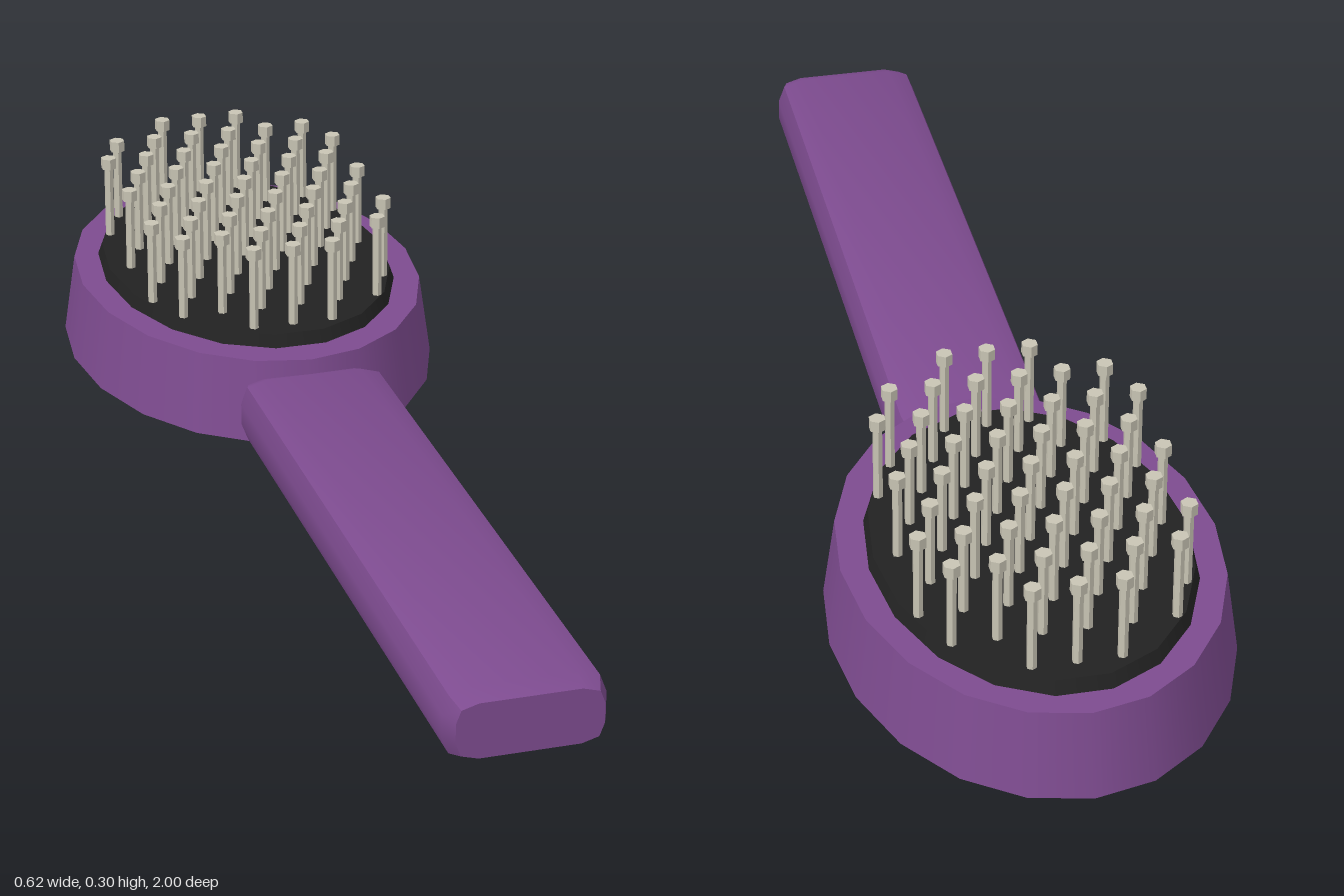
import * as THREE from 'three';
import { toCreasedNormals } from 'three/addons/utils/BufferGeometryUtils.js';

function material(name, color, flatShading = false) {
  const m = new THREE.MeshStandardMaterial({ color, flatShading });
  m.name = name;
  return m;
}

export function createModel() {
  const purple = material('purple plastic', 0x7d4b8f);
  const black = material('black rubber', 0x222222);
  const ivory = material('ivory bristle', 0xc8c4b4, true);
  const root = new THREE.Group();
  root.name = 'hairbrush';
  const headZ = -0.5575;

  function add(name, geometry, mat, x, y, z, parent = root) {
    const mesh = new THREE.Mesh(geometry, mat);
    mesh.name = name;
    mesh.position.set(x, y, z);
    parent.add(mesh);
    return mesh;
  }

  // Oval head, tapering upwards
  const headGeo = new THREE.CylinderGeometry(0.293, 0.312, 0.137, 20);
  headGeo.scale(1, 1, 0.4425 / 0.312);
  add('head', headGeo, purple, 0, 0.0685, headZ);

  // Oval cushion with flat front and back facets
  const padGeo = new THREE.CylinderGeometry(0.243, 0.25, 0.021, 18, 1, false, Math.PI / 18);
  padGeo.scale(1, 1, 0.366 / 0.25);
  add('cushion', padGeo, black, 0, 0.1475, -0.563);

  // Handle: soft-sided bar with bevelled ends
  const quarter = [[0.08, 0.057], [0.114, 0.047], [0.125, 0.018]];
  const back = [...quarter].reverse();
  const outline = [
    ...back.map(([x, y]) => [x, y]),
    ...quarter.map(([x, y]) => [-x, y]),
    ...back.map(([x, y]) => [-x, -y]),
    ...quarter.map(([x, y]) => [x, -y]),
  ].map(([x, y]) => new THREE.Vector2(x, y));
  const bevel = 0.03, start = -0.157, end = 1.0;
  const handleGeo = new THREE.ExtrudeGeometry(new THREE.Shape(outline), {
    depth: end - start - 2 * bevel, bevelEnabled: true, bevelSegments: 1,
    bevelThickness: bevel, bevelSize: 0.012, bevelOffset: -0.012, steps: 1,
  });
  add('handle', toCreasedNormals(handleGeo, 0.75), purple, 0, 0.06, start + bevel);

  // Staggered rows of ball-tipped bristles
  const stemGeo = new THREE.CylinderGeometry(0.008, 0.008, 0.135, 6);
  const tipGeo = new THREE.CylinderGeometry(0.0135, 0.0135, 0.019, 6);
  const bristles = new THREE.Group();
  bristles.name = 'bristles';
  root.add(bristles);
  const rows = [3, 6, 7, 6, 7, 6, 7, 6, 3];
  rows.forEach((count, r) => {
    const z = -0.875 + r * 0.0781;
    for (let i = 0; i < count; i++) {
      const x = (i - (count - 1) / 2) * 0.0684;
      add('bristleStem', stemGeo, ivory, x, 0.2175, z, bristles);
      add('bristleTip', tipGeo, ivory, x, 0.2935, z, bristles);
    }
  });

  return root;
}
